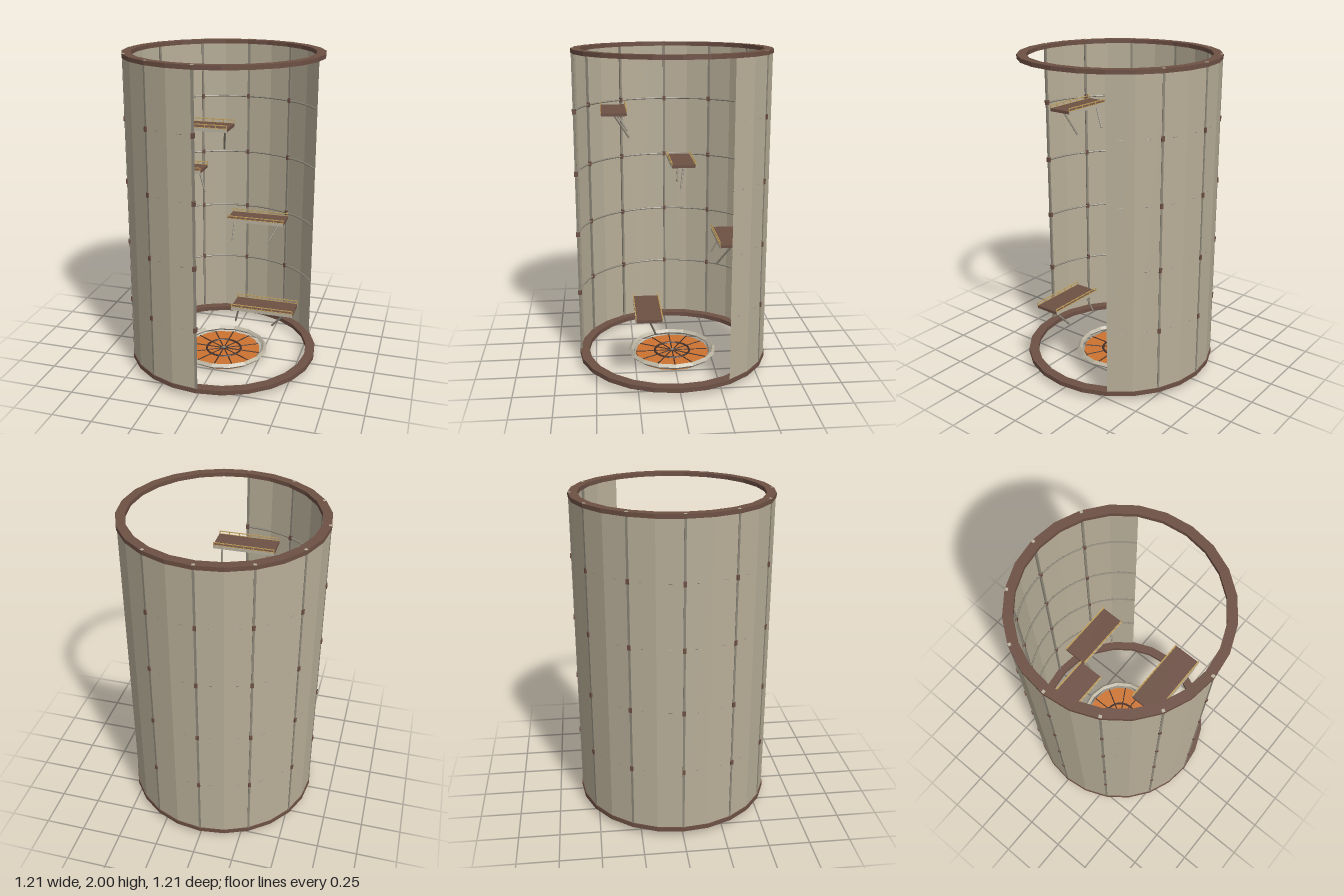
import * as THREE from 'three';

const mat = (name, color, extra = {}) => {
  const m = new THREE.MeshStandardMaterial({ color, flatShading: true, ...extra });
  m.name = name;
  return m;
};

export function createModel() {
  const wallMat = mat('beige wall', 0xb8ae98, { side: THREE.DoubleSide });
  const brown = mat('brown wood', 0x6d5044);
  const dark = mat('dark brown', 0x43302a);
  const steel = mat('grey metal', 0x8c8678);
  const pale = mat('pale metal', 0xb9b2a0);
  const gold = mat('gold trim', 0xc2a05a);
  const orange = mat('orange disc', 0xcc7330);

  const root = new THREE.Group();
  root.name = 'openTower';
  const RAD = Math.PI / 180;

  const add = (parent, name, geo, material, x = 0, y = 0, z = 0) => {
    const m = new THREE.Mesh(geo, material);
    m.name = name;
    m.position.set(x, y, z);
    parent.add(m);
    return m;
  };
  // straight rod between two points
  const rod = (parent, name, a, b, r, material, sides = 6) => {
    const d = b.clone().sub(a);
    const m = add(parent, name, new THREE.CylinderGeometry(r, r, d.length(), sides), material);
    m.position.copy(a).add(b).multiplyScalar(0.5);
    m.quaternion.setFromUnitVectors(new THREE.Vector3(0, 1, 0), d.normalize());
    return m;
  };
  const v = (x, y, z) => new THREE.Vector3(x, y, z);

  // curved wall, open over a third of the circle
  add(root, 'wall', new THREE.CylinderGeometry(0.6, 0.6, 1.94, 16, 1, true, 120 * RAD, 240 * RAD), wallMat, 0, 1.02, 0);

  // full rims at the bottom and the top
  const rim = (name, rIn, y0, y1) => {
    const pts = [[rIn, y0], [0.605, y0], [0.605, y1], [rIn, y1], [rIn, y0]].map(p => new THREE.Vector2(...p));
    add(root, name, new THREE.LatheGeometry(pts, 24), brown);
  };
  rim('bottomRim', 0.545, 0.037, 0.066);
  rim('topRim', 0.55, 1.973, 1.998);

  // hoops inside the wall, posts and clamps where they cross
  const levels = [0.455, 0.845, 1.235, 1.62];
  for (const y of levels) {
    const hoop = add(root, 'hoop', new THREE.TorusGeometry(0.59, 0.006, 6, 32, 240 * RAD), steel, 0, y, 0);
    hoop.rotation.x = Math.PI / 2;
    hoop.rotation.z = 90 * RAD;
  }
  for (let deg = 150; deg <= 360; deg += 30) {
    const frame = new THREE.Group();
    frame.name = 'postWithClamps';
    frame.rotation.y = deg * RAD;
    root.add(frame);
    add(frame, 'post', new THREE.BoxGeometry(0.013, 1.94, 0.014), steel, 0, 1.02, 0.595);
    add(frame, 'postCap', new THREE.BoxGeometry(0.017, 0.01, 0.017), pale, 0, 1.995, 0.595);
    for (const y of levels) add(frame, 'clamp', new THREE.BoxGeometry(0.018, 0.03, 0.024), brown, 0, y, 0.595);
  }

  // platforms with edge beams, low rails and braces leaning to the axis
  const L = 0.385, W = 0.155;
  const platform = (x, y, z) => {
    const g = new THREE.Group();
    g.name = 'platform';
    root.add(g);
    add(g, 'plank', new THREE.BoxGeometry(L, 0.018, W), brown, x, y, z);
    for (const s of [-1, 1]) {
      const ez = z + s * W / 2;
      add(g, 'edgeBeam', new THREE.BoxGeometry(L, 0.02, 0.005), pale, x, y - 0.002, ez);
      add(g, 'edgeStrip', new THREE.BoxGeometry(L, 0.003, 0.004), gold, x, y + 0.0095, ez);
      add(g, 'rail', new THREE.BoxGeometry(L, 0.005, 0.004), gold, x, y + 0.027, ez);
      for (let i = 0; i <= 6; i++) {
        add(g, 'railPost', new THREE.BoxGeometry(0.004, 0.02, 0.004), gold,
          x + (i / 6 - 0.5) * (L - 0.004), y + 0.017, ez);
      }
      const bx = x + s * 0.158;
      rod(g, 'brace', v(bx, y - 0.005, z), v(bx * 0.75, y - 0.147, z * 0.75), 0.006, steel);
    }
  };
  platform(0.315, 0.457, 0.18);
  platform(0.137, 0.845, -0.337);
  platform(-0.352, 1.232, -0.093);
  platform(-0.047, 1.62, 0.358);

  // floor disc with spokes, inner ring and a loose collar around it
  const floor = new THREE.Group();
  floor.name = 'floorDisc';
  root.add(floor);
  add(floor, 'disc', new THREE.CylinderGeometry(0.24, 0.24, 0.024, 16), orange, 0, 0.012, 0);
  for (let i = 0; i < 12; i++) {
    const a = i * 30 * RAD;
    rod(floor, 'spoke', v(0, 0.025, 0), v(0.238 * Math.sin(a), 0.025, 0.238 * Math.cos(a)), 0.004, dark);
  }
  const flatRing = (name, r, t, radial, sides, material, y) => {
    add(floor, name, new THREE.TorusGeometry(r, t, radial, sides), material, 0, y, 0).rotation.x = Math.PI / 2;
  };
  flatRing('innerRing', 0.114, 0.007, 6, 24, dark, 0.026);
  flatRing('collar', 0.27, 0.017, 4, 16, pale, 0.037);
  add(floor, 'hub', new THREE.CylinderGeometry(0.012, 0.012, 0.01, 8), steel, 0, 0.027, 0);

  return root;
}
